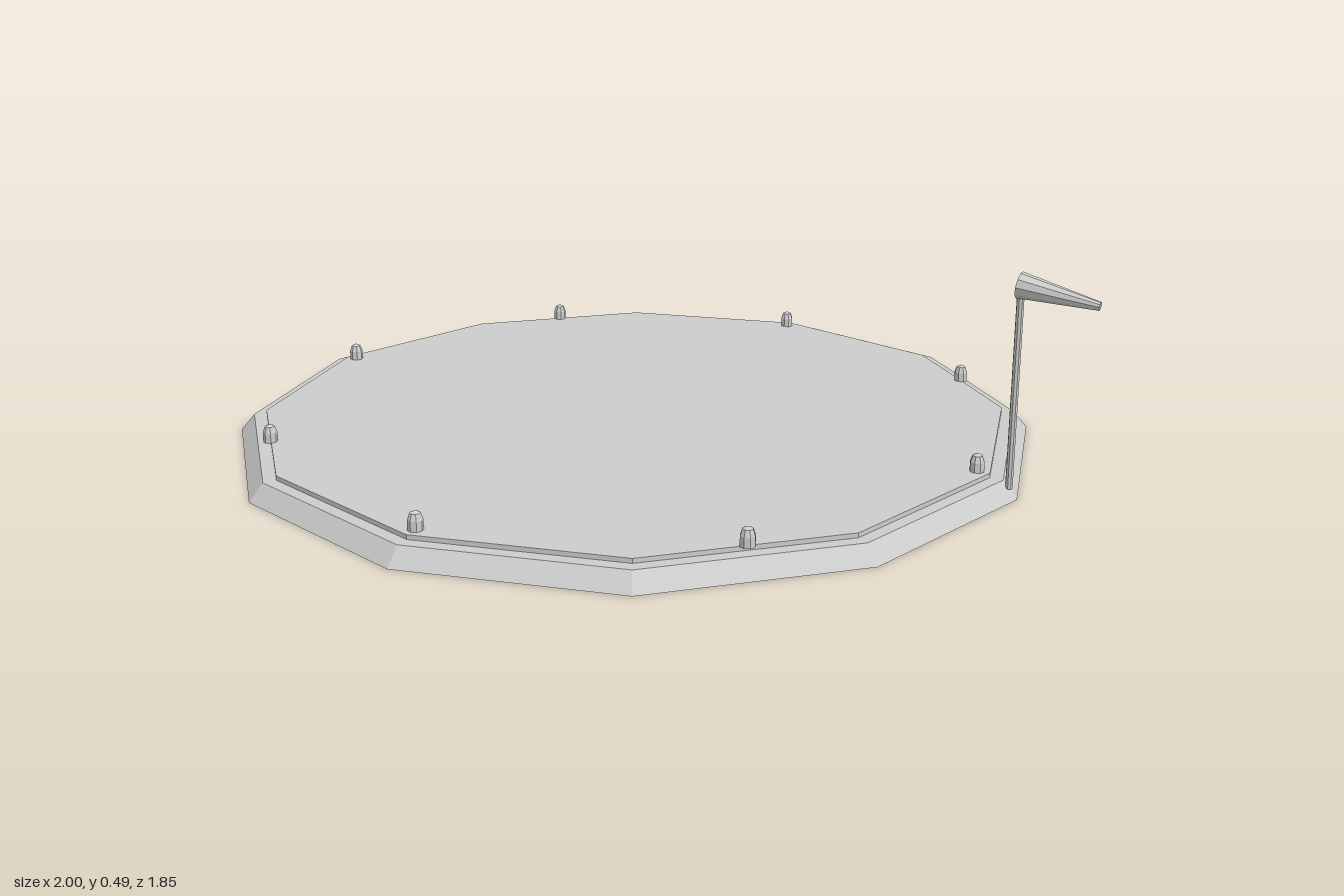
import * as THREE from 'three';

const CENTER_X = -0.073;

export function createModel() {
  const model = new THREE.Group();
  model.name = 'landingPad';
  const grey = new THREE.MeshStandardMaterial({ color: 0xcccccc });
  grey.name = 'concreteGrey';
  grey.flatShading = true;

  const add = (name, geometry, x, y, z) => {
    const mesh = new THREE.Mesh(geometry, grey);
    mesh.name = name;
    mesh.position.set(x, y, z);
    model.add(mesh);
    return mesh;
  };

  // Twelve-sided base with sloping rim, and the thin raised deck on it
  add('base', new THREE.CylinderGeometry(0.895, 0.927, 0.038, 12), CENTER_X, 0.019, 0);
  add('deck', new THREE.CylinderGeometry(0.866, 0.866, 0.012, 12), CENTER_X, 0.042, 0);

  // Ring of eight bullet-shaped edge lights
  const lightProfile = [[0, 0], [0.016, 0], [0.016, 0.022], [0.011, 0.036], [0, 0.041]]
    .map(([r, y]) => new THREE.Vector2(r, y));
  const lightGeometry = new THREE.LatheGeometry(lightProfile, 8);
  for (let i = 0; i < 8; i++) {
    const a = (i * Math.PI) / 4;
    add('edgeLight', lightGeometry, CENTER_X + 0.837 * Math.cos(a), 0.047, 0.837 * Math.sin(a));
  }

  // Wind sock on its pole, tapering and drooping outwards
  add('windsockPole', new THREE.CylinderGeometry(0.008, 0.008, 0.44, 8), 0.835, 0.242, 0);
  const sock = add('windsock', new THREE.CylinderGeometry(0.009, 0.028, 0.168, 10), 0.914, 0.45, 0);
  sock.rotation.z = -Math.PI / 2 - 0.14;

  return model;
}
